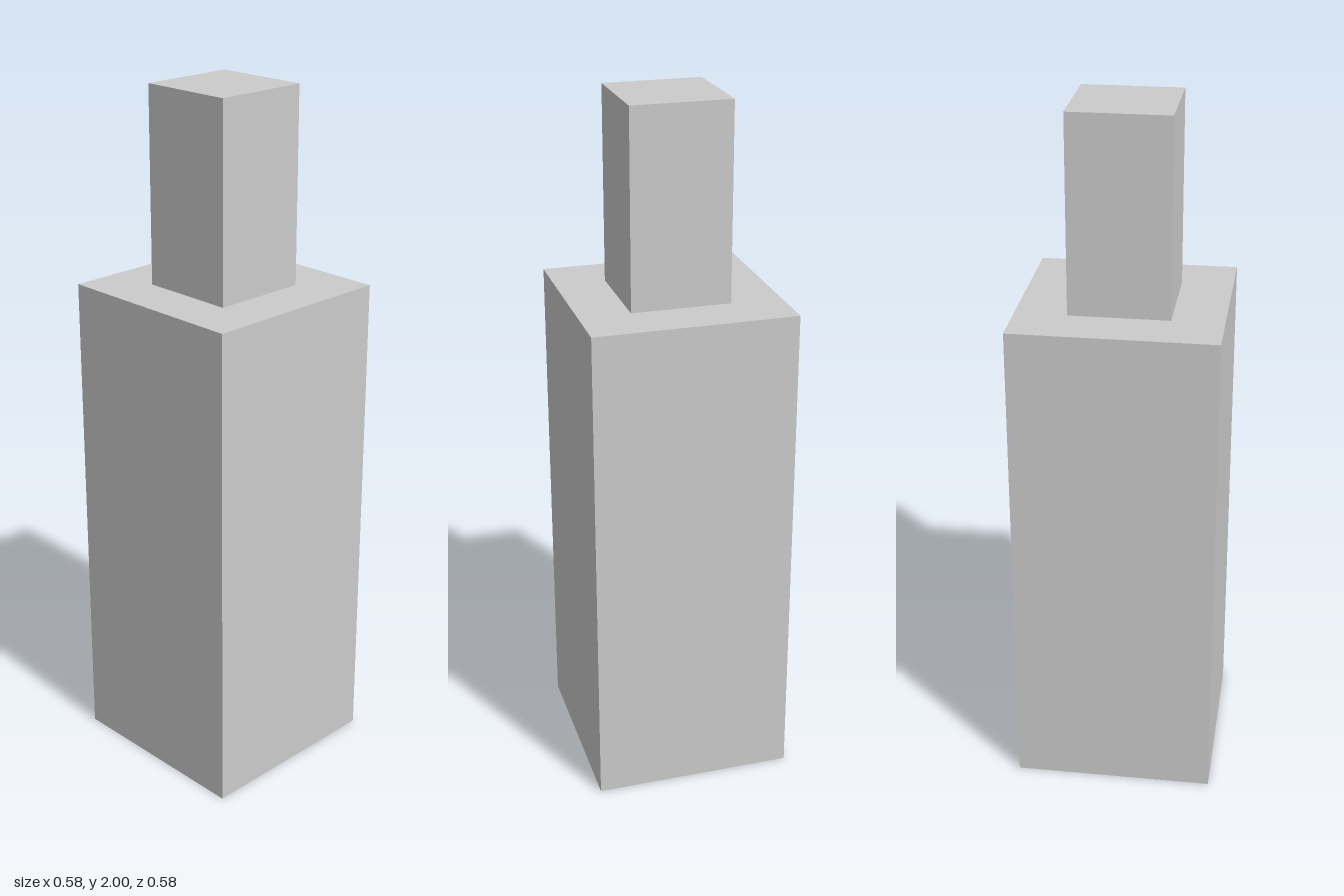
import * as THREE from 'three';

export function createModel() {
  const group = new THREE.Group();
  const material = new THREE.MeshStandardMaterial({ color: 0xcccccc, flatShading: true });

  // Square block standing on the given height
  function addBlock(name, width, bottom, top) {
    const mesh = new THREE.Mesh(new THREE.BoxGeometry(width, top - bottom, width), material);
    mesh.name = name;
    mesh.position.y = (bottom + top) / 2;
    group.add(mesh);
  }

  addBlock('body', 0.577, 0, 1.44);
  addBlock('neck', 0.284, 1.44, 2);

  return group;
}
